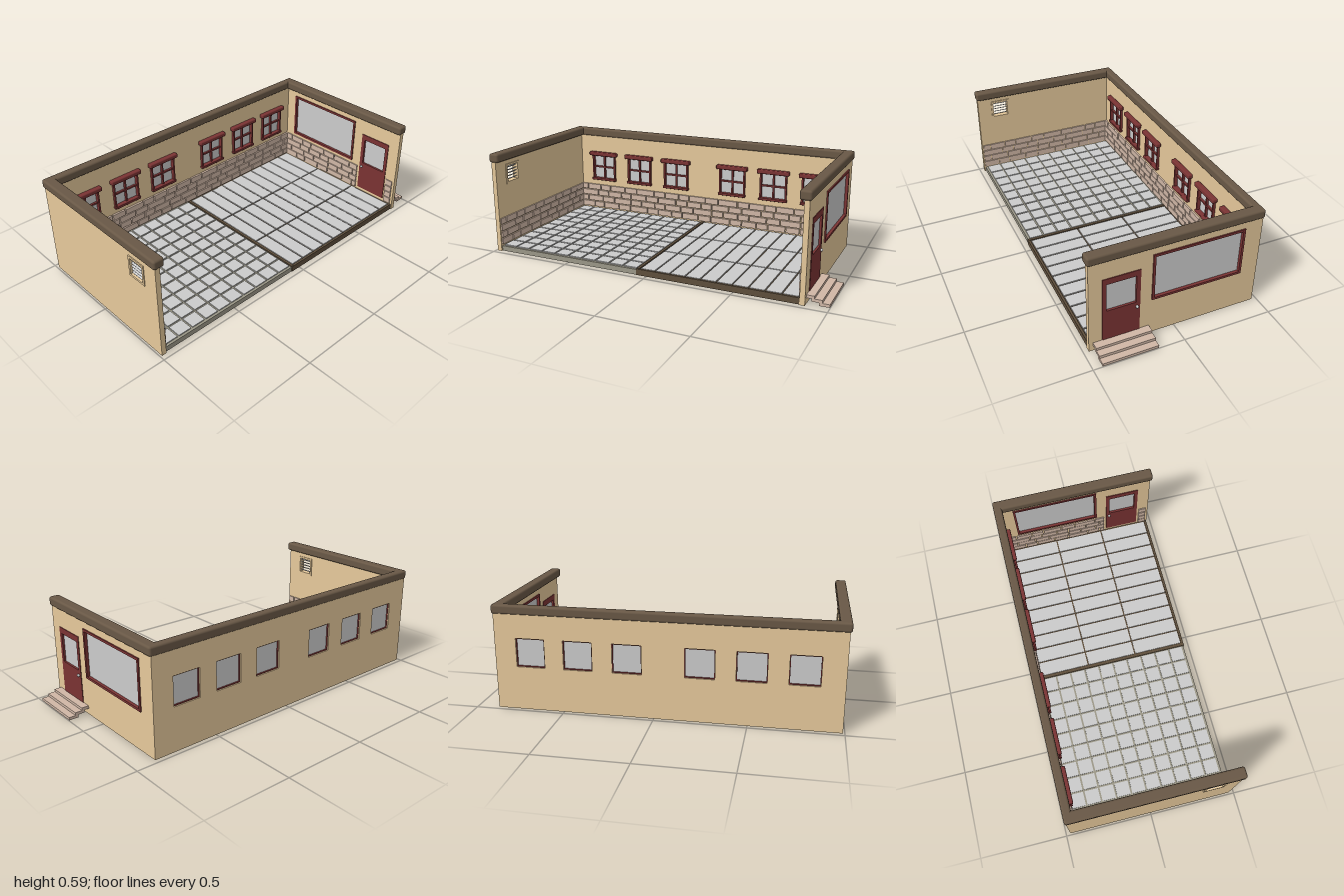
import * as THREE from 'three';
import { RoundedBoxGeometry } from 'three/addons/geometries/RoundedBoxGeometry.js';

const mat = (color) => new THREE.MeshStandardMaterial({ color });
const M = {
  wall: mat(0xe6c99b), trim: mat(0x695846), red: mat(0x7a3333), stone: mat(0xd0b7a6),
  grey: mat(0xcccccc), grout: mat(0x9c9888), brown: mat(0x5f4f3c),
};

function add(parent, name, geo, material, x = 0, y = 0, z = 0) {
  const mesh = new THREE.Mesh(geo, material);
  mesh.name = name;
  mesh.position.set(x, y, z);
  parent.add(mesh);
  return mesh;
}

// Box given by its min and max corners; r rounds the edges
function box(parent, name, material, [x0, x1], [y0, y1], [z0, z1], r = 0) {
  const s = [x1 - x0, y1 - y0, z1 - z0];
  const geo = r ? new RoundedBoxGeometry(...s, 2, r) : new THREE.BoxGeometry(...s);
  return add(parent, name, geo, material, (x0 + x1) / 2, (y0 + y1) / 2, (z0 + z1) / 2);
}

// Upright panel with rectangular holes, each rectangle as [u0, u1, y0, y1]
function panel(parent, name, material, rect, holes, depth) {
  const trace = (path, [a, b, c, d]) => path.moveTo(a, c).lineTo(b, c).lineTo(b, d).lineTo(a, d).closePath();
  const shape = trace(new THREE.Shape(), rect);
  for (const h of holes) shape.holes.push(trace(new THREE.Path(), h));
  return add(parent, name, new THREE.ExtrudeGeometry(shape, { depth, bevelEnabled: false }), material);
}

// Panel standing along z: u runs towards -z, depth runs towards +x from x
function sidePanel(parent, name, material, rect, holes, depth, x) {
  const p = panel(parent, name, material, rect, holes, depth);
  p.rotation.y = Math.PI / 2;
  p.position.x = x;
  return p;
}

// Four staggered courses of uneven stone blocks between u0 and u1
function courses(u0, u1, depth) {
  const g = new THREE.Group();
  g.name = 'stoneWainscot';
  const widths = [0.1, 0.075, 0.115, 0.09, 0.13, 0.08];
  for (let row = 0; row < 4; row++) {
    const y = 0.041 + row * 0.041;
    let u = u0, i = row * 2;
    while (u < u1 - 0.01) {
      const w = u === u0 && row % 2 ? 0.05 : widths[i++ % widths.length];
      let end = Math.min(u + w, u1);
      if (u1 - end < 0.03) end = u1;
      box(g, 'stoneBlock', M.stone, [u, end - 0.007], [y, y + 0.035], [0, depth + (i % 3) * 0.001]);
      u = end;
    }
  }
  return g;
}

function smallWindow() {
  const g = new THREE.Group();
  g.name = 'smallWindow';
  const frame = panel(g, 'windowFrame', M.red, [-0.086, 0.086, 0.238, 0.412], [[-0.076, 0.076, 0.25, 0.402]], 0.038);
  frame.position.z = -0.468;
  box(g, 'windowGlass', M.grey, [-0.077, 0.077], [0.249, 0.403], [-0.46, -0.452]);
  box(g, 'windowBar', M.red, [-0.005, 0.005], [0.25, 0.402], [-0.453, -0.438]);
  box(g, 'windowBar', M.red, [-0.076, 0.076], [0.321, 0.331], [-0.453, -0.439]);
  box(g, 'windowLintel', M.red, [-0.102, 0.102], [0.405, 0.432], [-0.446, -0.414], 0.007);
  box(g, 'windowSill', M.red, [-0.09, 0.09], [0.235, 0.251], [-0.446, -0.422], 0.004);
  return g;
}

function floors(root) {
  const g = new THREE.Group();
  g.name = 'floor';
  root.add(g);
  box(g, 'tileBase', M.grout, [-0.97, -0.06], [0, 0.03], [-0.45, 0.463]);
  box(g, 'panelBase', M.brown, [-0.06, 0.86], [0, 0.03], [-0.45, 0.463]);
  box(g, 'frontEdge', M.brown, [-0.06, 0.853], [0.001, 0.036], [0.455, 0.468]);
  box(g, 'floorDivider', M.brown, [-0.06, -0.045], [0.02, 0.038], [-0.445, 0.464]);
  const grid = (name, x0, x1, cols, rows, gap) => {
    const dx = (x1 - x0) / cols, z0 = -0.436, dz = 0.89 / rows;
    for (let i = 0; i < cols; i++) for (let j = 0; j < rows; j++) {
      box(g, name, M.grey, [x0 + i * dx + gap, x0 + (i + 1) * dx - gap], [0.025, 0.036],
        [z0 + j * dz + gap, z0 + (j + 1) * dz - gap]);
    }
  };
  grid('floorTile', -0.958, -0.062, 10, 10, 0.005);
  grid('floorPanel', -0.043, 0.845, 10, 3, 0.004);
}

export function createModel() {
  const root = new THREE.Group();
  root.name = 'openRoom';
  floors(root);

  // Back wall with six windows
  const windowXs = [-0.785, -0.515, -0.245, 0.145, 0.415, 0.68];
  panel(root, 'backWall', M.wall, [-0.99, 0.88, 0, 0.56],
    windowXs.map((x) => [x - 0.08, x + 0.08, 0.245, 0.407]), 0.03).position.z = -0.475;
  for (const x of windowXs) {
    const w = smallWindow();
    w.position.x = x;
    root.add(w);
  }

  // Left wall with a louvred vent
  sidePanel(root, 'leftWall', M.wall, [-0.472, 0.475, 0, 0.56], [[-0.375, -0.275, 0.4, 0.5]], 0.028, -0.99);
  sidePanel(root, 'ventFrame', M.wall, [-0.384, -0.266, 0.391, 0.509], [[-0.372, -0.278, 0.403, 0.497]], 0.038, -0.995);
  for (let i = 0; i < 5; i++) {
    const slat = box(root, 'ventSlat', M.grey, [-0.987, -0.965], [0.411 + i * 0.018, 0.415 + i * 0.018], [0.277, 0.373]);
    slat.rotation.z = 0.5;
  }

  // Right wall with door and large window
  const door = [-0.4, -0.197, 0.048, 0.435];
  const big = [-0.135, 0.375, 0.22, 0.5];
  const inset = ([a, b, c, d], t) => [a + t, b - t, c + t, d - t];
  sidePanel(root, 'rightWall', M.wall, [-0.472, 0.475, 0, 0.56], [door, inset(big, 0.006)], 0.028, 0.852);
  sidePanel(root, 'largeWindowFrame', M.red, big, [inset(big, 0.013)], 0.042, 0.845);
  box(root, 'largeWindowGlass', M.grey, [0.862, 0.87], [0.23, 0.49], [-0.365, 0.125]);
  sidePanel(root, 'door', M.red, inset(door, 0.001), [[-0.378, -0.22, 0.235, 0.4]], 0.034, 0.849);
  box(root, 'doorGlass', M.grey, [0.862, 0.871], [0.234, 0.401], [0.219, 0.379]);
  for (const x of [0.845, 0.888]) add(root, 'doorKnob', new THREE.SphereGeometry(0.008, 16, 12), M.grey, x, 0.208, 0.216);

  // Stone wainscot on the inside of the walls
  const back = courses(-0.962, 0.852, 0.012);
  back.position.z = -0.446;
  const left = courses(-0.464, 0.436, 0.008);
  left.rotation.y = Math.PI / 2;
  left.position.x = -0.963;
  root.add(back, left);
  for (const [a, b] of [[-0.436, 0.188], [0.412, 0.464]]) {
    const right = courses(a, b, 0.008);
    right.rotation.y = -Math.PI / 2;
    right.position.x = 0.853;
    root.add(right);
  }

  // Rounded coping along the wall tops
  const capY = [0.538, 0.589];
  box(root, 'backCoping', M.trim, [-1, 0.89], capY, [-0.48, -0.432], 0.012);
  box(root, 'leftCoping', M.trim, [-1, -0.938], capY, [-0.48, 0.48], 0.012);
  box(root, 'rightCoping', M.trim, [0.828, 0.89], capY, [-0.48, 0.48], 0.012);

  // Steps outside the door
  [[0.922, 0.035], [0.962, 0.02], [1, 0.004]].forEach(([x, y], i) => {
    box(root, 'doorStep', M.stone, [i ? x - 0.055 : 0.879, x], [y, y + 0.016], [0.145, 0.45]);
  });
  return root;
}
